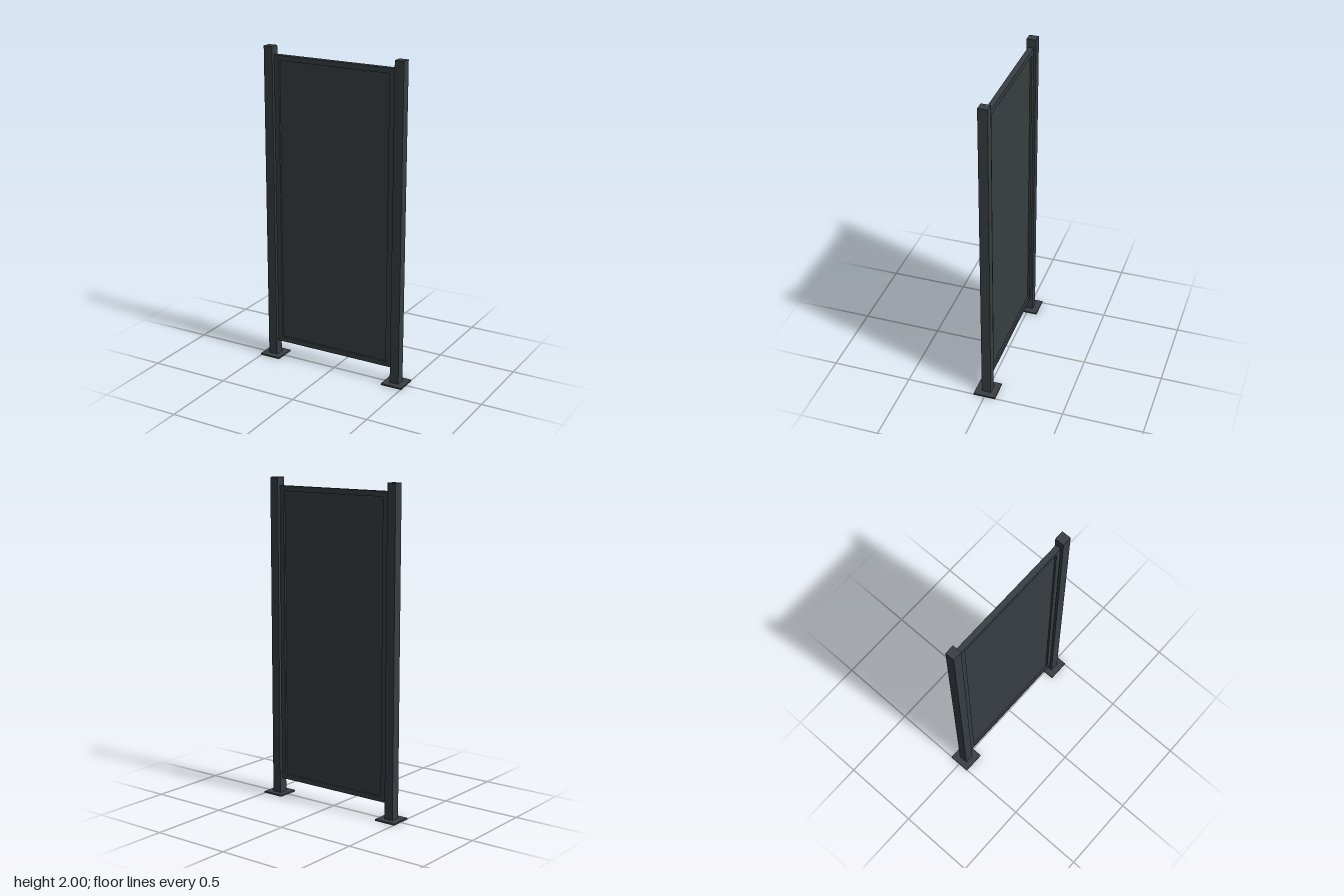
import * as THREE from 'three';

export function createModel() {
  const group = new THREE.Group();
  const anthracite = new THREE.MeshStandardMaterial({ color: 0x383e42 });
  anthracite.name = 'anthracite';

  const add = (name, geometry, x, y, z) => {
    const mesh = new THREE.Mesh(geometry, anthracite);
    mesh.name = name;
    mesh.position.set(x, y, z);
    group.add(mesh);
  };

  // Square posts on flat base plates
  const plateHeight = 0.01;
  for (const [side, s] of [['left', 1], ['right', -1]]) {
    add(side + 'Post', new THREE.BoxGeometry(0.058, 2 - plateHeight, 0.058), s * 0.435, 1 + plateHeight / 2, 0);
    add(side + 'BasePlate', new THREE.BoxGeometry(0.138, plateHeight, 0.138), s * 0.435, plateHeight / 2, 0);
  }

  // Panel frame: one rectangle with a rectangular opening
  const halfWidth = 0.4, bottom = 0.105, top = 1.95, bar = 0.032, depth = 0.034;
  const rectangle = (path, inset) => {
    const x = halfWidth - inset, y0 = bottom + inset, y1 = top - inset;
    path.moveTo(-x, y0);
    path.lineTo(x, y0);
    path.lineTo(x, y1);
    path.lineTo(-x, y1);
    path.closePath();
    return path;
  };
  const outline = rectangle(new THREE.Shape(), 0);
  outline.holes.push(rectangle(new THREE.Path(), bar));
  add('panelFrame', new THREE.ExtrudeGeometry(outline, { depth, bevelEnabled: false }), 0, 0, -depth / 2);

  // Infill sheet recessed on both faces
  add('infillPanel', new THREE.BoxGeometry(2 * (halfWidth - bar), top - bottom - 2 * bar, 0.01),
    0, (top + bottom) / 2, 0);

  return group;
}
